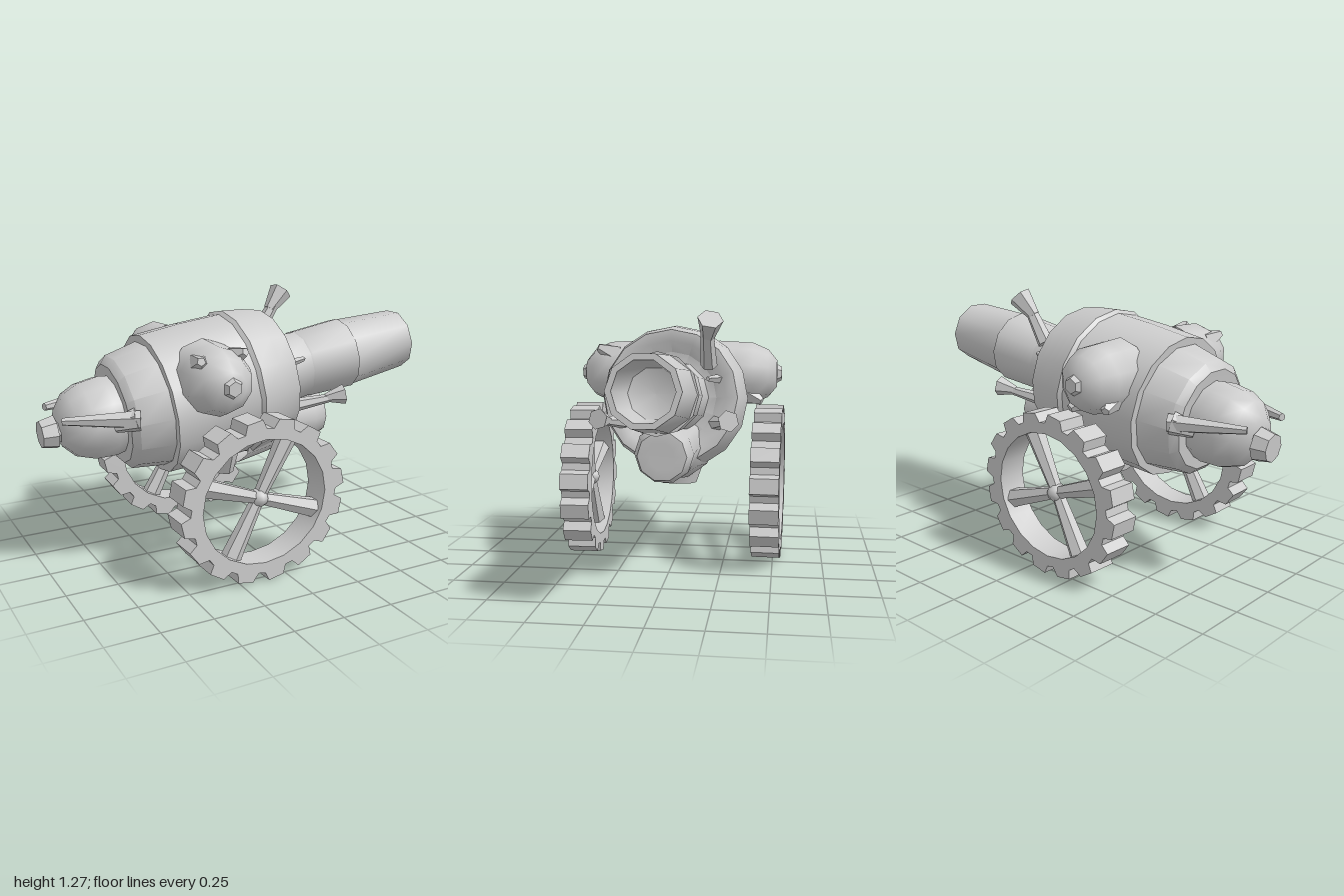
import * as THREE from 'three';
import { toCreasedNormals } from 'three/addons/utils/BufferGeometryUtils.js';

const material = new THREE.MeshStandardMaterial({ color: 0xcccccc, side: THREE.DoubleSide });
const V = (x, y, z) => new THREE.Vector3(x, y, z);

function part(name, geometry, parent, crease = 0.7) {
  const mesh = new THREE.Mesh(toCreasedNormals(geometry, crease), material);
  mesh.name = name;
  parent.add(mesh);
  return mesh;
}

// Turned part: profile of [radius, distance along the axis]
function turned(name, profile, sides, parent, crease) {
  const points = profile.map(([r, d]) => new THREE.Vector2(r, d));
  return part(name, new THREE.LatheGeometry(points, sides), parent, crease);
}

// Tapered bar from a to b
function rod(name, a, b, ra, rb, parent, sides = 6) {
  const mesh = part(name, new THREE.CylinderGeometry(rb, ra, a.distanceTo(b), sides), parent);
  mesh.position.copy(a).lerp(b, 0.5);
  mesh.quaternion.setFromUnitVectors(V(0, 1, 0), b.clone().sub(a).normalize());
  return mesh;
}

function ball(name, p, rx, ry, rz, parent, w = 12, h = 8) {
  const geometry = new THREE.SphereGeometry(1, w, h).scale(rx, ry, rz);
  const mesh = part(name, geometry, parent, 1);
  mesh.position.copy(p);
  return mesh;
}

function makeWheel(side) {
  const wheel = new THREE.Group();
  wheel.name = side > 0 ? 'leftWheel' : 'rightWheel';
  wheel.position.set(-0.13, 0.4, 0.472 * side);
  wheel.rotation.y = 0.03 * side;

  // Toothed, slightly oval rim with an open centre
  const teeth = 16, rim = new THREE.Shape();
  for (let i = 0; i < teeth; i++) {
    [[0.0, 0.375], [0.12, 0.42], [0.6, 0.415], [0.75, 0.37]].forEach(([f, r], k) => {
      const a = ((i + f) / teeth) * Math.PI * 2;
      rim[i + k ? 'lineTo' : 'moveTo'](1.03 * r * Math.cos(a), 0.94 * r * Math.sin(a));
    });
  }
  rim.closePath();
  rim.holes.push(new THREE.Path().absellipse(0, 0, 0.325, 0.3, 0, Math.PI * 2, true));
  const geometry = new THREE.ExtrudeGeometry(rim, { depth: 0.14, bevelEnabled: false, curveSegments: 10 });
  part('rim', geometry.translate(0, 0, -0.07), wheel, 0.6);

  // Four flaring spokes meeting at a small hub
  for (const degrees of [62, 160, 242, 340]) {
    const a = THREE.MathUtils.degToRad(degrees);
    rod('spoke', V(0, 0, 0), V(Math.cos(a) * 0.335, Math.sin(a) * 0.325, 0), 0.03, 0.05, wheel);
  }
  ball('hub', V(0, 0, 0), 0.045, 0.045, 0.05, wheel, 8, 6);
  return wheel;
}

export function createModel() {
  const model = new THREE.Group();
  model.name = 'cannon';

  // Turned tail, body and barrel share one raised axis pointing to +x
  const gun = new THREE.Group();
  gun.name = 'gun';
  gun.position.y = 0.84;
  gun.rotation.z = -Math.PI / 2 + 0.13;
  model.add(gun);

  turned('tail', [[0, -0.935], [0.09, -0.925], [0.155, -0.87], [0.185, -0.8], [0.195, -0.7], [0.18, -0.62]], 12, gun, 0.9);
  turned('breech', [[0, -0.65], [0.24, -0.66], [0.275, -0.63], [0.305, -0.47]], 14, gun);
  turned('body', [[0.29, -0.47], [0.34, -0.47], [0.35, -0.25], [0.35, -0.02]], 16, gun);
  turned('collar', [[0.34, -0.06], [0.365, -0.03], [0.35, 0.08], [0.325, 0.18], [0.27, 0.18],
    [0.22, 0.145], [0.16, 0.15]], 16, gun);
  turned('barrelBase', [[0.185, 0.1], [0.18, 0.22], [0.17, 0.38]], 12, gun);
  turned('barrelMiddle', [[0.165, 0.35], [0.175, 0.37], [0.185, 0.63], [0.17, 0.63]], 12, gun);
  turned('muzzle', [[0.178, 0.62], [0.156, 0.99], [0.13, 0.99], [0.115, 0.7], [0, 0.66]], 10, gun);

  // Knob at the end of the tail
  rod('tailNeck', V(-0.96, 0.7, -0.01), V(-0.85, 0.72, 0), 0.04, 0.08, model);
  rod('tailKnob', V(-1, 0.695, -0.02), V(-0.93, 0.7, -0.02), 0.065, 0.08, model, 8);

  // Blunt bulb below the barrel
  const bulb = turned('underBulb', [[0.2, -0.02], [0.165, 0.16], [0.14, 0.25], [0.14, 0.4],
    [0.115, 0.475], [0.06, 0.48], [0, 0.47]], 10, model, 0.9);
  bulb.position.y = 0.62;
  bulb.rotation.z = -Math.PI / 2;

  // Narrow cradle under the body
  const cradle = part('cradle', new THREE.CylinderGeometry(0.16, 0.1, 0.17, 8).scale(0.55, 1, 1), model);
  cradle.position.set(-0.09, 0.475, 0);

  for (const side of [1, -1]) {
    model.add(makeWheel(side));

    // Side pod with a stud and spikes
    const pod = new THREE.Group();
    pod.name = side > 0 ? 'leftPod' : 'rightPod';
    pod.position.set(-0.28, 0.945, 0);
    pod.rotation.x = side * Math.PI / 2;
    model.add(pod);
    turned('podShell', [[0.17, 0.2], [0.165, 0.3], [0.16, 0.38], [0.125, 0.46], [0.07, 0.505], [0, 0.51]], 10, pod, 0.9);
    rod('podStud', V(0, 0.46, 0), V(0, 0.53, 0), 0.075, 0.035, pod, 6);
    for (const [x, z] of [[-0.1, -0.1], [0.09, -0.12], [0.02, 0.09]]) {
      rod('podSpike', V(x * 0.8, 0.34, z * 0.8), V(x * 1.15, 0.43, z * 1.15), 0.06, 0.02, pod, 5);
    }

    // Bars from the breech to the tail
    rod('tailBar', V(-0.62, 0.79, 0.27 * side), V(-0.94, 0.79, 0.14 * side), 0.045, 0.018, model);
    rod('tailBarClamp', V(-0.72, 0.76, 0.21 * side), V(-0.63, 0.79, 0.26 * side), 0.035, 0.055, model);

    // Flared pins leaving the collar
    rod('lowerPin', V(0.12, 0.73, 0.21 * side), V(0.39, 0.77, 0.28 * side), 0.04, 0.02, model);
    rod('lowerPinHead', V(0.36, 0.77, 0.27 * side), V(0.45, 0.785, 0.3 * side), 0.02, 0.05, model);
    rod('sideSpike', V(0, 0.94, 0.28 * side), V(0.28, 0.96, 0.19 * side), 0.035, 0.012, model, 4);
  }

  // Single upright pin on one side of the barrel
  rod('upperPin', V(0.22, 1.02, -0.19), V(0.32, 1.17, -0.19), 0.04, 0.03, model);
  rod('upperPinHead', V(0.3, 1.15, -0.19), V(0.38, 1.24, -0.21), 0.03, 0.06, model);

  return model;
}
